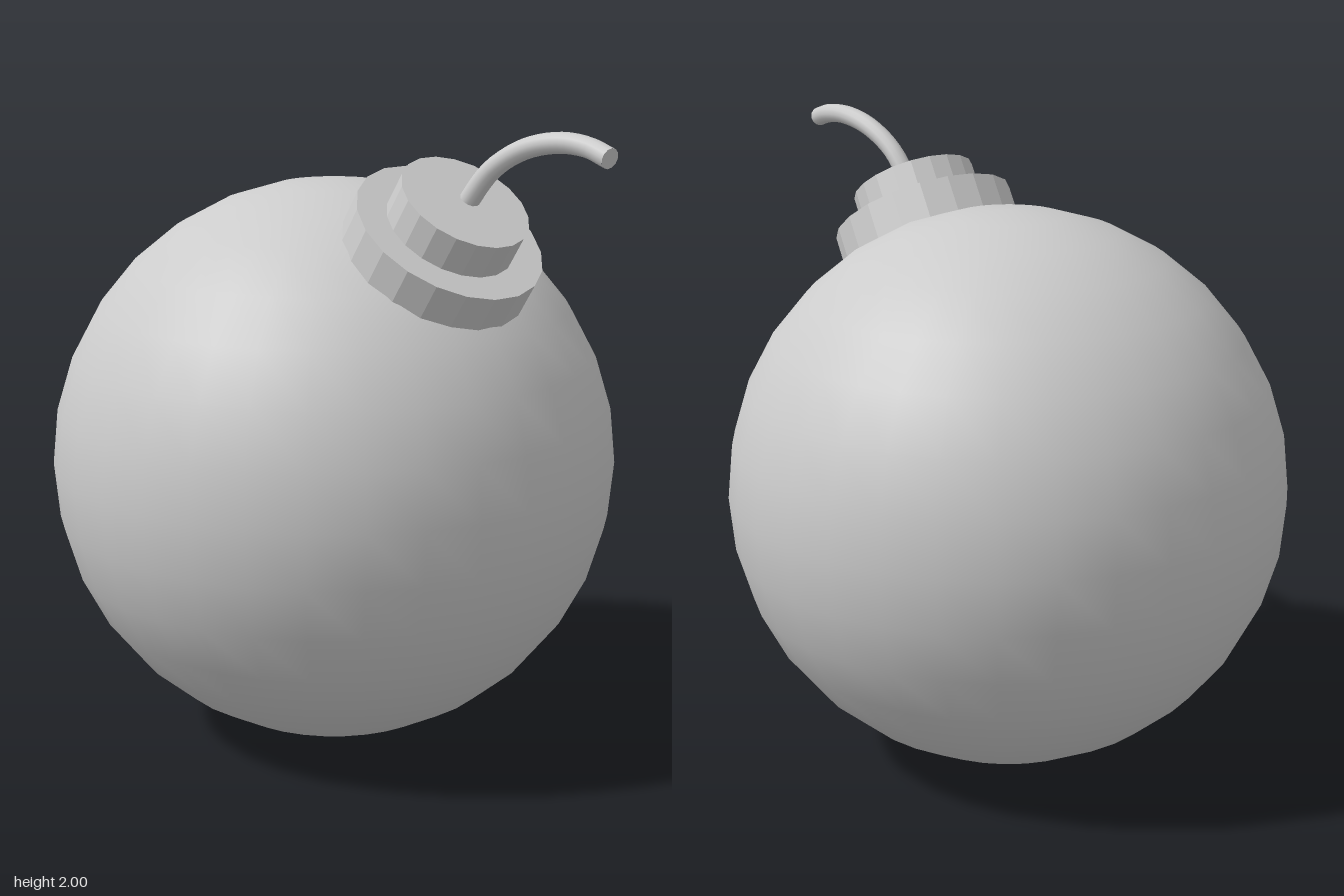
import * as THREE from 'three';

export function createModel() {
  const model = new THREE.Group();
  model.name = 'roundBomb';
  const smooth = new THREE.MeshStandardMaterial({ color: 0xcccccc });
  const faceted = new THREE.MeshStandardMaterial({ color: 0xcccccc, flatShading: true });
  const R = 0.893;

  const add = (parent, name, geometry, material) => {
    const mesh = new THREE.Mesh(geometry, material);
    mesh.name = name;
    parent.add(mesh);
    return mesh;
  };

  // Round body
  add(model, 'body', new THREE.SphereGeometry(R, 32, 16), smooth).position.y = R;

  // Stepped neck, tilted towards the front left
  const neck = new THREE.Group();
  neck.name = 'neck';
  neck.position.y = R;
  neck.quaternion.setFromUnitVectors(
    new THREE.Vector3(0, 1, 0),
    new THREE.Vector3(0.397, 0.828, 0.397).normalize()
  );
  model.add(neck);
  const disc = (name, radius, from, to) => {
    add(neck, name, new THREE.CylinderGeometry(radius, radius, to - from, 20), faceted)
      .position.y = (from + to) / 2;
  };
  disc('neckCollar', 0.298, 0.828, 0.956);
  disc('neckCap', 0.203, 0.93, 1.07);

  // Drooping fuse
  const path = new THREE.CatmullRomCurve3([
    [0.41, 1.73, 0.385],
    [0.435, 1.78, 0.405],
    [0.5, 1.875, 0.445],
    [0.59, 1.94, 0.495],
    [0.69, 1.968, 0.56],
    [0.77, 1.963, 0.62],
    [0.83, 1.94, 0.685],
  ].map(p => new THREE.Vector3(...p)));
  const r = 0.031;
  add(model, 'fuse', new THREE.TubeGeometry(path, 24, r, 12), smooth);

  // Flat end of the fuse
  const tip = add(model, 'fuseTip', new THREE.CircleGeometry(r, 12), smooth);
  tip.position.copy(path.getPoint(1));
  tip.lookAt(tip.position.clone().add(path.getTangent(1)));

  return model;
}
